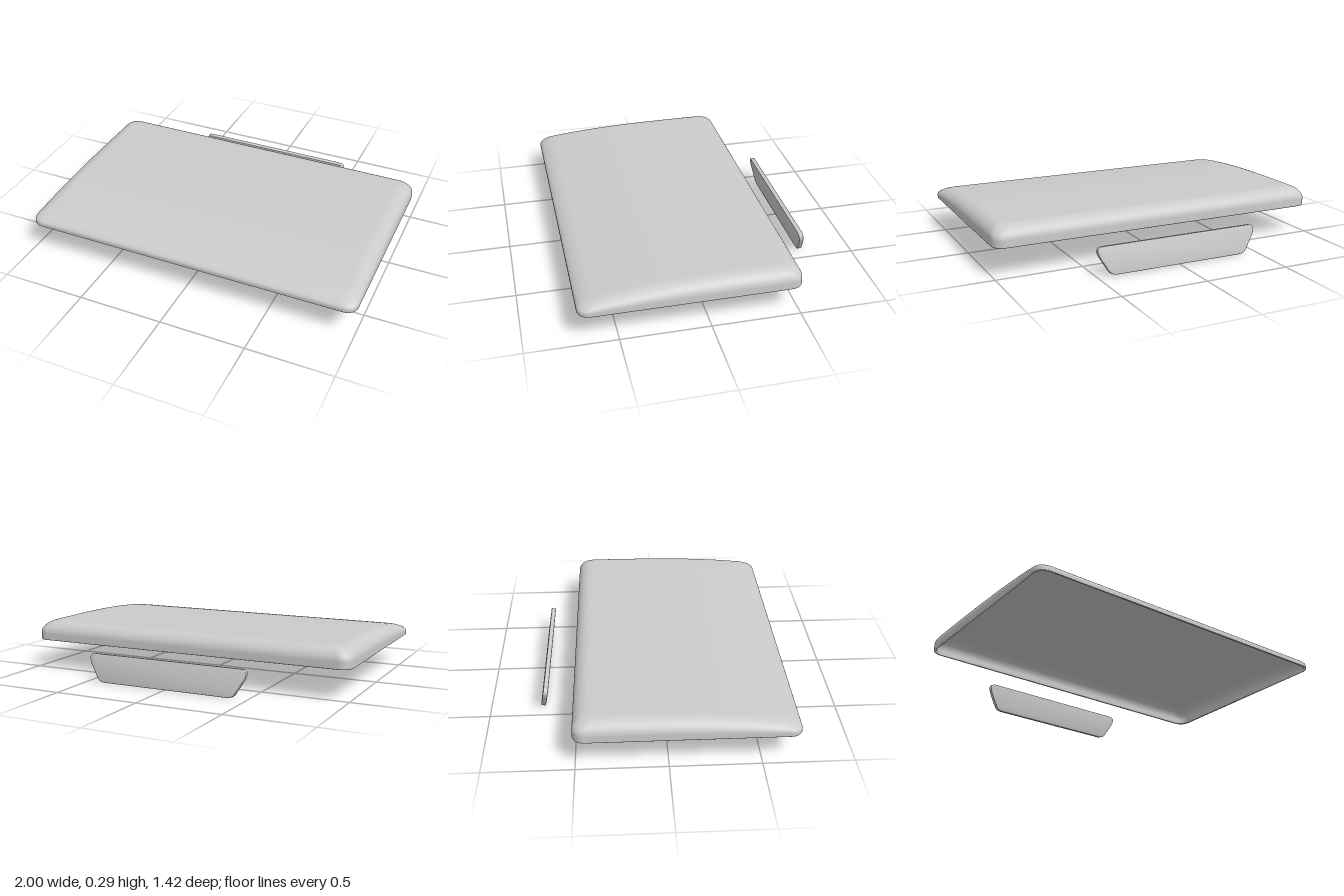
import * as THREE from 'three';
import { toCreasedNormals } from 'three/addons/utils/BufferGeometryUtils.js';

const BASE = 0.17, HALF_X = 1, HALF_Z = 0.61, MID_Z = 0.1, CORNER = 0.065, WALL = 0.012;

// Height of the domed top, sloping down towards the front
const crown = (z) => 0.286 - 0.061 * Math.pow(Math.max(0, (z - MID_Z + HALF_Z) / (2 * HALF_Z)), 3.6);

// Rounded upper edge: share of the crown height at a distance d from the rim
const edge = (d) => 0.35 + 0.65 * Math.sqrt(1 - Math.pow(1 - Math.min(d / 0.09, 1), 2));

// Rounded rectangle in x and z, inset by d; every ring has the same point count
function outline(d) {
  const hx = HALF_X - d, hz = HALF_Z - d, r = Math.min(CORNER, hz);
  const points = [], arc = 8, side = 10;
  const corners = [[1, 1], [-1, 1], [-1, -1], [1, -1]];
  corners.forEach(([sx, sz], q) => {
    const cx = sx * (hx - r), cz = sz * (hz - r);
    for (let i = 0; i <= arc; i++) {
      const a = (q + i / arc) * Math.PI / 2;
      points.push([cx + r * Math.cos(a), cz + r * Math.sin(a)]);
    }
    const [nx, nz] = corners[(q + 1) % 4], a = (q + 1) * Math.PI / 2;
    const ex = nx * (hx - r) + r * Math.cos(a), ez = nz * (hz - r) + r * Math.sin(a);
    const [px, pz] = points[points.length - 1];
    for (let i = 1; i < side; i++) {
      points.push([px + (ex - px) * i / side, pz + (ez - pz) * i / side]);
    }
  });
  return points.map(([x, z]) => [x, z + MID_Z]);
}

// Hollow cover, open underneath: inner skin, lip and outer skin as one loft
function coverGeometry() {
  const insets = [];
  for (let i = 0; i <= 12; i++) insets.push(0.09 * (1 - Math.cos(i / 12 * Math.PI / 2)));
  for (let i = 1; i <= 14; i++) insets.push(0.09 + (HALF_Z - 0.09) * i / 14);

  const skin = (offset) => insets.map((d) =>
    outline(Math.min(d + offset, HALF_Z)).map(([x, z]) =>
      [x, BASE + (crown(z) - BASE) * edge(d) - offset, z]));
  const flat = (d, y) => outline(d).map(([x, z]) => [x, y, z]);

  const rings = [
    ...skin(WALL).reverse(),
    flat(WALL, BASE + 0.004), flat(WALL - 0.003, BASE),
    flat(0.004, BASE), flat(0.001, BASE + 0.001), flat(0, BASE + 0.004),
    ...skin(0),
  ];
  const n = rings[0].length, index = [];
  for (let j = 0; j < rings.length - 1; j++) {
    for (let i = 0; i < n; i++) {
      const k = (i + 1) % n;
      const a = j * n + i, b = j * n + k, c = a + n, e = b + n;
      index.push(a, c, b, b, c, e);
    }
  }
  const geometry = new THREE.BufferGeometry();
  geometry.setAttribute('position', new THREE.Float32BufferAttribute(rings.flat(2), 3));
  geometry.setIndex(index);
  geometry.computeVertexNormals();
  return geometry;
}

// Thin tapered plate with rounded corners and softened edges
function plateGeometry() {
  const shape = new THREE.Shape();
  shape.moveTo(-0.385, 0);
  shape.lineTo(0.385, 0);
  shape.quadraticCurveTo(0.42, 0, 0.435, 0.028);
  shape.lineTo(0.478, 0.1);
  shape.quadraticCurveTo(0.51, 0.162, 0.455, 0.162);
  shape.lineTo(-0.455, 0.162);
  shape.quadraticCurveTo(-0.51, 0.162, -0.478, 0.1);
  shape.lineTo(-0.435, 0.028);
  shape.quadraticCurveTo(-0.42, 0, -0.385, 0);
  const geometry = new THREE.ExtrudeGeometry(shape, {
    depth: 0.02, curveSegments: 12,
    bevelThickness: 0.004, bevelSize: 0.004, bevelOffset: -0.004, bevelSegments: 3,
  });
  geometry.translate(0, 0, -0.01);
  return toCreasedNormals(geometry, 0.7);
}

export function createModel() {
  const group = new THREE.Group();
  const material = new THREE.MeshStandardMaterial({ color: 0xcccccc, side: THREE.DoubleSide });

  const cover = new THREE.Mesh(coverGeometry(), material);
  cover.name = 'cover';

  // Separate plate behind the cover, leaning forward at the top
  const plate = new THREE.Mesh(plateGeometry(), material);
  plate.name = 'rearPlate';
  plate.position.set(0, 0.002, -0.7);
  plate.rotation.x = 0.17;

  group.add(cover, plate);
  return group;
}
